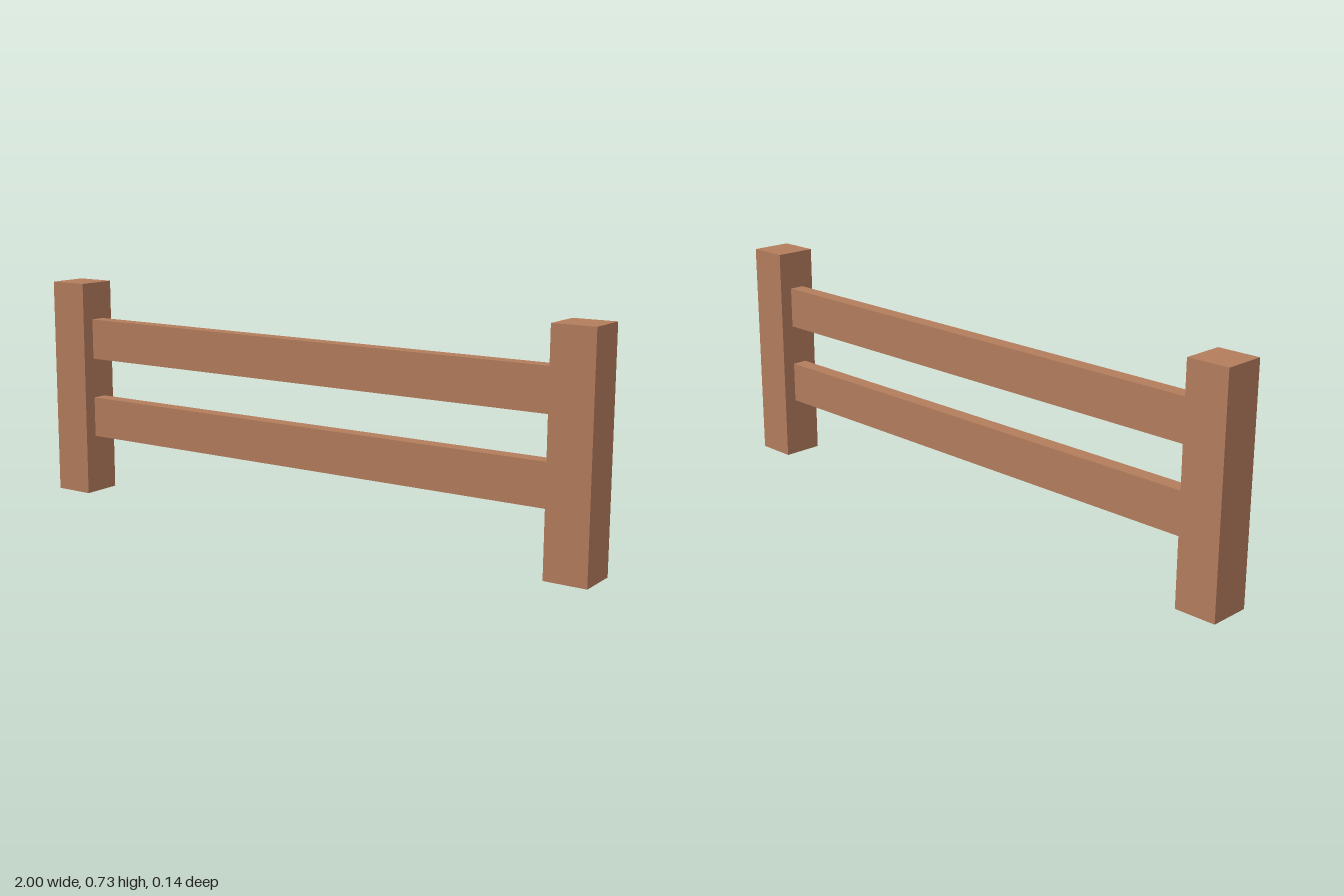
import * as THREE from 'three';

export function createModel() {
  const wood = new THREE.MeshStandardMaterial({ color: 0xb47d5d });
  wood.name = 'brown wood';
  const fence = new THREE.Group();
  fence.name = 'fence';

  const addBox = (name, size, position) => {
    const mesh = new THREE.Mesh(new THREE.BoxGeometry(...size), wood);
    mesh.name = name;
    mesh.position.set(...position);
    fence.add(mesh);
  };

  const postWidth = 0.135, postHeight = 0.725;
  const postX = 1 - postWidth / 2;

  // Square posts at both ends
  for (const [name, side] of [['leftPost', 1], ['rightPost', -1]]) {
    addBox(name, [postWidth, postHeight, postWidth], [side * postX, postHeight / 2, 0]);
  }

  // Two flat rails butting against the posts' inner faces
  const railLength = 2 - 2 * postWidth;
  for (const [name, y] of [['lowerRail', 0.263], ['upperRail', 0.533]]) {
    addBox(name, [railLength, 0.135, 0.05], [0, y, 0]);
  }

  return fence;
}
